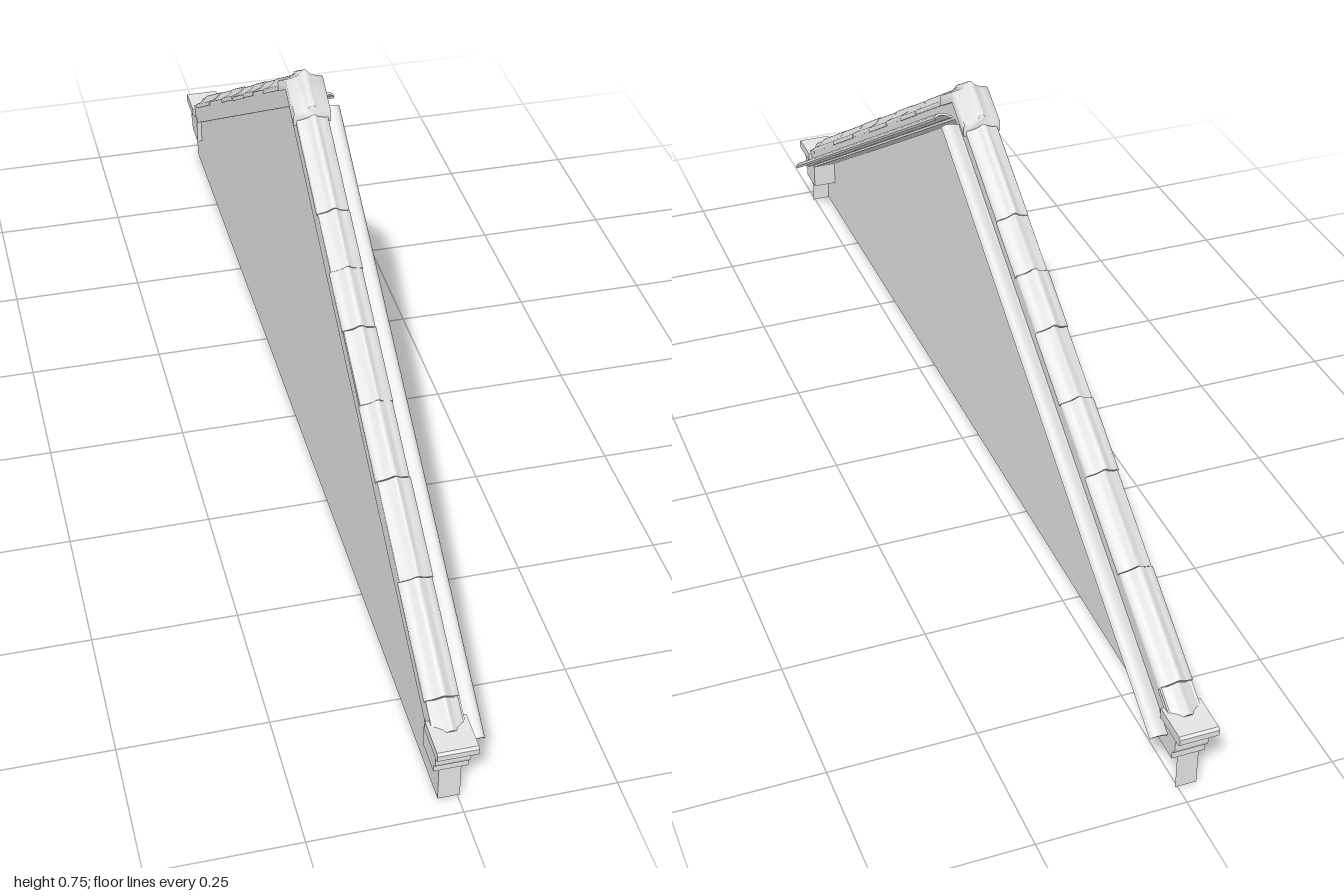
import * as THREE from 'three';
import { toCreasedNormals } from 'three/addons/utils/BufferGeometryUtils.js';

const SLOPE = 0.627;
const PITCH = Math.atan(SLOPE);
const COS = Math.cos(PITCH);
const RIDGE_Y = 0.75; // where the two coping ridge lines would meet
const MID = -0.0135; // centre of the coping width

export function createModel() {
  const root = new THREE.Group();
  root.name = 'gableWall';
  const stone = new THREE.MeshStandardMaterial({ color: 0xe4e4e4, side: THREE.DoubleSide });
  stone.name = 'paleStone';

  const add = (parent, name, geometry) => {
    const mesh = new THREE.Mesh(geometry, stone);
    mesh.name = name;
    parent.add(mesh);
    return mesh;
  };
  const outline = (points) => new THREE.Shape(points.map(([x, y]) => new THREE.Vector2(x, y)));
  const extrude = (points, depth, steps = 1) =>
    new THREE.ExtrudeGeometry(outline(points), { depth, steps, bevelEnabled: false });
  // Outline drawn in z and y, given a thickness in x
  const slab = (points, x0, x1) => extrude(points, x1 - x0).rotateY(-Math.PI / 2).translate(x1, 0, 0);
  // Height of a line parallel to the slope, a given depth beneath the ridge line
  const slopeY = (z, depth) => RIDGE_Y - depth / COS - z * SLOPE;

  // Coping section: nearly flat shoulders rising to a soft roll along the middle
  const copingSection = (half, bottom, side, dx = 0, dh = 0) => {
    const right = [[0, 0], [0.003, -0.001], [0.007, -0.006], [0.012, -0.0105], [0.018, -0.013],
      [half - 0.002, -0.0155], [half, -0.018], [half, bottom]];
    const left = right.slice(1).reverse().map(([x, y]) => [-x, y]);
    return [...right, ...left].map(([x, y]) => [side * (MID + dx + x), y + dh]);
  };

  // Wall: a single sheet on the right face, with a return at each end
  const eave = slopeY(0.965, 0.05);
  add(root, 'wallSheet', new THREE.ShapeGeometry(outline(
    [[-0.965, 0], [0.965, 0], [0.965, eave], [0, slopeY(0, 0.05)], [-0.965, eave]]))
    .rotateY(-Math.PI / 2).translate(-0.032, 0, 0));

  // Continuous coping bed, mitred at the apex
  add(root, 'copingBed', slab(
    [[-0.965, slopeY(0.965, 0.055)], [0, slopeY(0, 0.055)], [0.965, slopeY(0.965, 0.055)],
      [0.965, slopeY(0.965, 0.017)], [0, slopeY(0, 0.017)], [-0.965, slopeY(0.965, 0.017)]],
    MID - 0.0268, MID + 0.0268));

  const seams = [0.07, 0.22, 0.31, 0.40, 0.51, 0.62, 0.76, 0.92, 0.965];
  const shiftX = [0, 0.0008, -0.0008, 0.0005, -0.001, 0.0008, -0.001, 0.0005];
  const shiftH = [0, -0.0008, 0.0005, -0.0008, 0.001, 0, 0.0008, -0.002];

  for (const side of [1, -1]) {
    // Sloping half: local z runs down the slope, local y points out of it
    const slope = new THREE.Group();
    slope.name = side > 0 ? 'frontSlope' : 'backSlope';
    slope.rotation.set(PITCH, side > 0 ? 0 : Math.PI, 0, 'YXZ');
    slope.position.y = RIDGE_Y;
    root.add(slope);

    // Coping stones, each set slightly differently
    for (let i = 0; i < seams.length - 1; i++) {
      const start = seams[i] / COS, end = seams[i + 1] / COS - 0.001;
      const section = copingSection(i === 7 ? 0.027 : 0.028, -0.024, side, shiftX[i], shiftH[i]);
      add(slope, 'copingStone', toCreasedNormals(extrude(section, end - start), 0.7)).position.z = start;
    }

    // Thin curved flashing strip projecting on the left face
    const curve = [[0.0, -0.049], [0.016, -0.046], [0.022, -0.042], [0.03, -0.039], [0.038, -0.039], [0.043, -0.042], [0.045, -0.046]];
    const strip = [...curve, ...curve.slice().reverse().map(([x, y]) => [x - (x > 0.044 ? 0.002 : 0), y - 0.004])];
    const flashing = extrude(strip.map(([x, y]) => [x * side, y]), 1.1);
    add(slope, 'flashingStrip', toCreasedNormals(flashing, 0.7)).position.z = 0.05;

    // Wall return
    add(root, 'wallReturn', new THREE.PlaneGeometry(0.036, eave)
      .rotateY(side > 0 ? 0 : Math.PI).translate(-0.014, eave / 2, side * 0.965));

    // Kneeler stone at the eave: block, stepped moulding and lip
    const kneeler = new THREE.Group();
    kneeler.name = side > 0 ? 'frontKneeler' : 'backKneeler';
    root.add(kneeler);
    const moulding = [[0.91, 0.066], [0.967, 0.066], [0.967, 0.08], [0.973, 0.083], [0.976, 0.09], [0.976, 0.108],
      [0.982, 0.11], [0.984, 0.115], [0.991, 0.121], [0.91, 0.121]];
    add(kneeler, 'kneelerMoulding', slab(moulding.map(([z, y]) => [z * side, y]), MID - 0.028, MID + 0.028));
    const lip = [[0.93, 0.12], [0.996, 0.12], [1, 0.124], [1, 0.134], [0.996, 0.138], [0.93, 0.138]];
    add(kneeler, 'kneelerLip', slab(lip.map(([z, y]) => [z * side, y]), MID - 0.033, MID + 0.033));
  }

  // Apex saddle: the coping section bent over the ridge
  const saddle = extrude(copingSection(0.033, -0.036, 1), 0.12, 2).translate(0, 0, -0.06);
  const p = saddle.attributes.position;
  for (let i = 0; i < p.count; i++) p.setY(i, p.getY(i) + 0.755 - Math.abs(p.getZ(i)) * 0.6);
  add(root, 'apexSaddle', toCreasedNormals(saddle, 1.2));

  return root;
}
